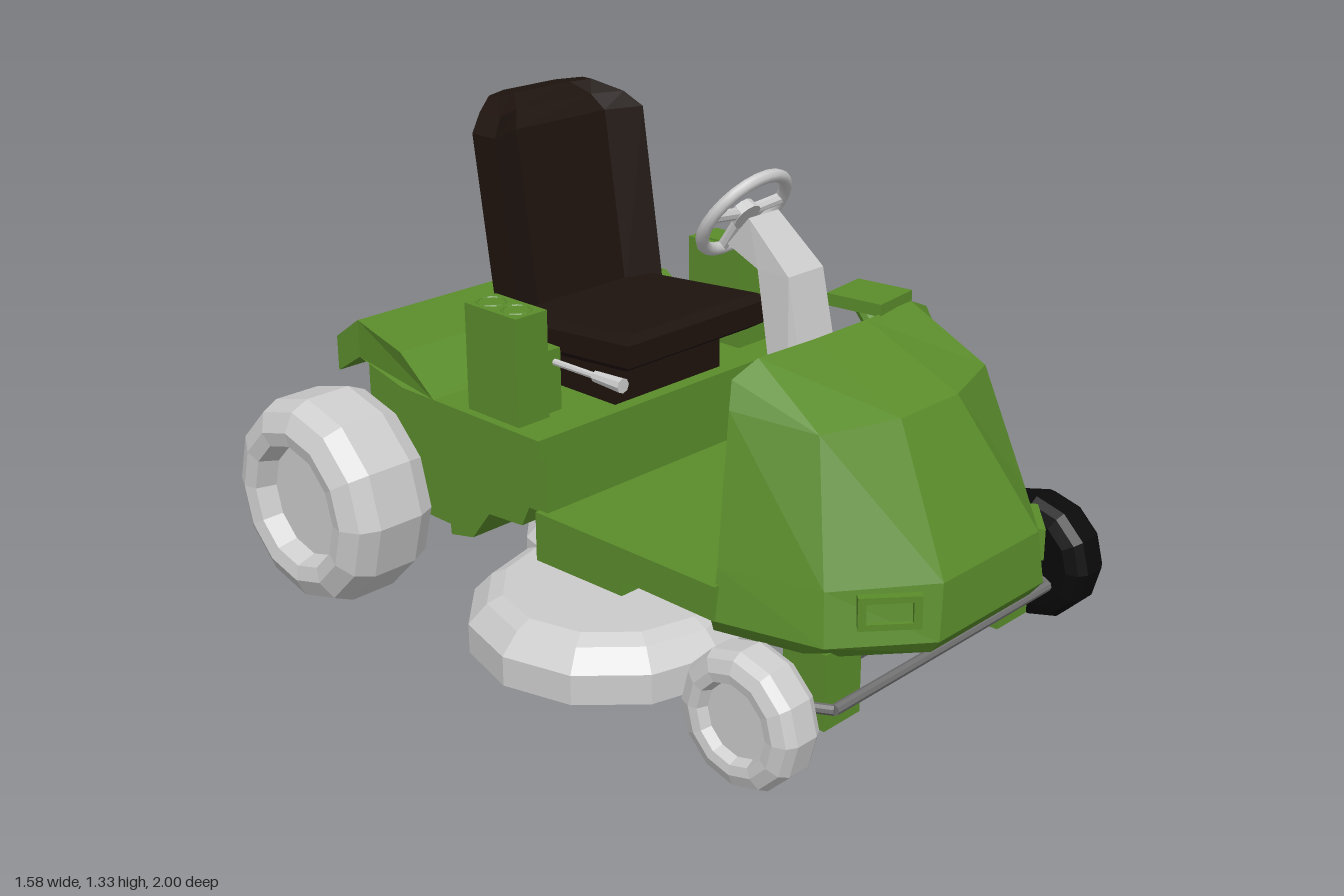
import * as THREE from 'three';

const mat = (color, extra = {}) => new THREE.MeshStandardMaterial({ color, flatShading: true, ...extra });
const GREEN = mat(0x5a8c2b), BLACK = mat(0x0a0a0a), BROWN = mat(0x1e130e);
const GREY = mat(0xcccccc), STEEL = mat(0x707070);
const SMOOTH = new THREE.MeshStandardMaterial({ color: 0xcccccc });
const V = (x, y, z) => new THREE.Vector3(x, y, z);

export function createModel() {
  const root = new THREE.Group();

  const add = (name, geo, material, parent = root) => {
    const mesh = new THREE.Mesh(geo, material);
    mesh.name = name;
    parent.add(mesh);
    return mesh;
  };
  // Box given by its limits on each axis
  const box = (name, x0, x1, y0, y1, z0, z1, material) =>
    add(name, new THREE.BoxGeometry(x1 - x0, y1 - y0, z1 - z0)
      .translate((x0 + x1) / 2, (y0 + y1) / 2, (z0 + z1) / 2), material);
  // Round bar between two points
  const bar = (name, a, b, r, material, parent = root, r2 = r) => {
    const d = b.clone().sub(a);
    const mesh = add(name, new THREE.CylinderGeometry(r2, r, d.length(), 8), material, parent);
    mesh.position.copy(a).addScaledVector(d, 0.5);
    mesh.quaternion.setFromUnitVectors(V(0, 1, 0), d.normalize());
    return mesh;
  };
  // Side profile of [z, y] points extruded across x
  const slab = (name, pts, half, material) => {
    const shape = new THREE.Shape(pts.map(p => new THREE.Vector2(p[0], p[1])));
    const geo = new THREE.ExtrudeGeometry(shape, { depth: half * 2, bevelEnabled: false });
    return add(name, geo.rotateY(-Math.PI / 2).translate(half, 0, 0), material);
  };
  // Closed skin through rings of [x, y, z], capped at both ends
  const loft = (name, rings, material) => {
    const n = rings[0].length, pos = rings.flat(2), idx = [];
    for (let r = 0; r < rings.length - 1; r++)
      for (let i = 0; i < n; i++) {
        const a = r * n + i, b = r * n + (i + 1) % n;
        idx.push(a, b, b + n, a, b + n, a + n);
      }
    [0, rings.length - 1].forEach((r, k) => {
      const c = pos.length / 3;
      for (let j = 0; j < 3; j++) pos.push(rings[r].reduce((s, p) => s + p[j], 0) / n);
      for (let i = 0; i < n; i++) {
        const a = r * n + i, b = r * n + (i + 1) % n;
        idx.push(c, ...(k ? [a, b] : [b, a]));
      }
    });
    // Turn the faces outward if the rings ran the other way
    let vol = 0;
    const p = i => V(pos[i * 3], pos[i * 3 + 1], pos[i * 3 + 2]);
    for (let i = 0; i < idx.length; i += 3) vol += p(idx[i]).dot(p(idx[i + 1]).cross(p(idx[i + 2])));
    if (vol < 0) idx.reverse();
    const geo = new THREE.BufferGeometry();
    geo.setAttribute('position', new THREE.Float32BufferAttribute(pos, 3));
    geo.setIndex(idx);
    geo.computeVertexNormals();
    return add(name, geo, material);
  };
  const mirrorRing = half => [...half, ...half.slice().reverse().map(([x, y, z]) => [-x, y, z])];

  // Hood: half rings from rear corner to nose, mirrored
  loft('hood', [
    [[0.47, 0.27, 0.535], [0.40, 0.27, 0.80], [0.20, 0.27, 0.97]],
    [[0.495, 0.31, 0.55], [0.42, 0.31, 0.83], [0.21, 0.31, 1.0]],
    [[0.475, 0.44, 0.55], [0.40, 0.44, 0.81], [0.19, 0.45, 0.99]],
    [[0.395, 0.80, 0.51], [0.32, 0.775, 0.72], [0.11, 0.775, 0.79]],
    [[0.37, 0.865, 0.495], [0.29, 0.90, 0.505], [0.10, 0.90, 0.515]],
  ].map(mirrorRing), GREEN);

  // Headlight frames on the angled nose panels
  for (const s of [-1, 1]) {
    const rect = (P, w, h) => new P([[-w, -h], [w, -h], [w, h], [-w, h]].map(p => new THREE.Vector2(...p)));
    const frame = rect(THREE.Shape, 0.075, 0.042);
    frame.holes.push(rect(THREE.Path, 0.055, 0.026));
    const lamp = add('headlightFrame', new THREE.ExtrudeGeometry(frame, { depth: 0.025, bevelEnabled: false }), GREEN);
    lamp.position.set(s * 0.285, 0.39, 0.907);
    lamp.rotation.y = s * 0.72;
  }

  // Chassis floor, rear body and fenders
  slab('floor', [[0.56, 0.31], [0.56, 0.40], [-0.06, 0.395], [-0.06, 0.26], [0.25, 0.267], [0.25, 0.31]], 0.495, GREEN);
  slab('seatPlatform', [[-0.03, 0.56], [-0.03, 0.39], [-0.10, 0.39], [-0.13, 0.33], [-0.26, 0.32],
    [-0.33, 0.23], [-0.42, 0.21], [-0.45, 0.56]], 0.48, GREEN);
  slab('rearBody', [[-0.40, 0.58], [-0.40, 0.21], [-0.74, 0.21], [-0.80, 0.28], [-0.80, 0.64], [-0.57, 0.64]], 0.44, GREEN);
  const fender = slab('fender', [[-0.03, 0.60], [-0.44, 0.60], [-0.57, 0.70], [-0.80, 0.727], [-0.90, 0.657],
    [-0.90, 0.556], [-0.80, 0.62], [-0.57, 0.60], [-0.43, 0.545], [-0.03, 0.545]], 0.505, GREEN);
  const fp = fender.geometry.attributes.position;
  for (let i = 0; i < fp.count; i++) if (fp.getZ(i) < -0.7) fp.setX(i, fp.getX(i) * 0.93);
  fender.geometry.computeVertexNormals();

  // Side consoles, cup holders and lift lever
  box('rightConsole', -0.48, -0.375, 0.55, 0.89, -0.325, -0.13, GREEN);
  box('leftConsole', 0.345, 0.46, 0.55, 0.89, -0.325, -0.13, GREEN);
  box('leftConsoleLid', 0.36, 0.445, 0.89, 0.895, -0.31, -0.145, GREEN);
  for (const z of [-0.28, -0.185])
    add('cupHolder', new THREE.TorusGeometry(0.037, 0.004, 6, 16).rotateX(Math.PI / 2).translate(-0.428, 0.89, z), GREEN);
  box('leverGuide', -0.355, -0.315, 0.59, 0.77, -0.35, -0.15, GREEN);
  bar('lever', V(-0.335, 0.735, -0.2), V(-0.335, 0.735, 0.01), 0.009, GREY);
  bar('leverGrip', V(-0.335, 0.735, 0), V(-0.335, 0.735, 0.1), 0.015, GREY, root, 0.02);

  // Dash flap with its brace
  const flap = box('dashFlap', -0.075, 0.075, -0.016, 0.016, -0.08, 0.08, GREEN);
  flap.position.set(0.215, 0.91, 0.43);
  flap.rotation.y = 0.12;
  bar('dashBrace', V(0.215, 0.76, 0.51), V(0.215, 0.90, 0.39), 0.02, GREEN);

  // Steering column
  const columnRing = (w, y0, z0, y1, z1, w1 = w) => [[w, y0, z0], [w1, y1, z1], [-w1, y1, z1], [-w, y0, z0]];
  loft('steeringColumn', [
    columnRing(0.075, 0.39, 0.53, 0.39, 0.44, 0.10),
    columnRing(0.065, 1.02, 0.40, 1.02, 0.30),
    columnRing(0.055, 1.14, 0.26, 1.06, 0.19),
  ], GREY);

  // Steering wheel, built flat facing +z then tilted toward the seat
  const steering = new THREE.Group();
  steering.name = 'steeringWheel';
  add('steeringRim', new THREE.TorusGeometry(0.13, 0.017, 8, 24), SMOOTH, steering);
  add('steeringHub', new THREE.CylinderGeometry(0.035, 0.04, 0.03, 12).rotateX(Math.PI / 2), GREY, steering);
  for (const a of [0.15, Math.PI - 0.15, -Math.PI / 2])
    bar('steeringSpoke', V(0, 0, 0), V(Math.cos(a) * 0.13, Math.sin(a) * 0.13, 0), 0.015, GREY, steering);
  steering.position.set(0, 1.13, 0.195);
  steering.lookAt(0, 1.13 + 0.58, 0.195 - 0.82);
  root.add(steering);

  // Seat: base, cushion and wrapped backrest
  box('seatBase', -0.2, 0.2, 0.59, 0.72, -0.37, -0.07, BROWN);
  loft('seatCushion', [[0.23, 0.05, 0.72, 0.685], [0.27, 0.0, 0.75, 0.715], [0.27, 0.0, 0.81, 0.77], [0.24, 0.03, 0.825, 0.785]]
    .map(([w, inset, yf, yb]) => [[w, yf, 0.055 - inset], [w, yb, -0.48], [-w, yb, -0.48], [-w, yf, 0.055 - inset]]), BROWN);
  const backRing = (w, y, z, d = 1) => mirrorRing([
    [w * 0.6, y, z - 0.04 * d], [w, y, z], [w, y, z - 0.09 * d], [w * 0.55, y, z - 0.16 * d],
  ]);
  loft('seatBackrest', [
    backRing(0.22, 0.685, -0.38, 0.7), backRing(0.27, 0.76, -0.355), backRing(0.27, 1.26, -0.43),
    backRing(0.225, 1.305, -0.46, 0.9), backRing(0.17, 1.337, -0.53, 0.4),
  ], BROWN);

  // Mower decks: open-bottomed shells
  const deck = (name, x, y, z, r, h, material) => {
    const pts = [[0, 0.87], [0.70, 0.87], [0.90, 0.5], [0.90, 0], [1, 0], [1, 0.53], [0.87, 0.87], [0.76, 1], [0, 1]];
    const geo = new THREE.LatheGeometry(pts.map(p => new THREE.Vector2(p[0] * r, p[1] * h)), 12);
    add(name, geo.translate(x, y, z), material);
  };
  deck('leftDeck', 0.39, 0.07, 0.105, 0.375, 0.15, GREEN);
  deck('rightDeck', -0.385, 0.07, 0.105, 0.375, 0.15, GREY);
  deck('centreDeck', 0, 0.125, -0.03, 0.425, 0.18, GREY);

  // Wheels: profile as [share of radius, share of width], recessed rim outside
  const wheel = (name, s, x, y, z, r, w, material) => {
    const pts = [[0, 0], [0.74, 0], [0.92, 0.09], [1, 0.27], [1, 0.73], [0.92, 0.91], [0.74, 1],
      [0.60, 0.97], [0.54, 0.78], [0, 0.78]];
    const geo = new THREE.LatheGeometry(pts.map(p => new THREE.Vector2(p[0] * r, p[1] * w)), 12);
    add(name, geo.rotateZ(-s * Math.PI / 2).translate(s * x, y, z), material);
  };
  for (const s of [-1, 1]) {
    const side = s > 0 ? 'left' : 'right', rubber = s > 0 ? BLACK : GREY;
    wheel(side + 'RearWheel', s, 0.5, 0.298, -0.71, 0.29, 0.29, rubber);
    wheel(side + 'FrontWheel', s, 0.512, 0.178, 0.75, 0.173, 0.138, rubber);
    // Axle stubs and steering links
    bar('frontAxleStub', V(s * 0.38, 0.175, 0.745), V(s * 0.53, 0.175, 0.745), 0.016, STEEL);
    bar('frontLink', V(s * 0.50, 0.175, 0.75), V(s * 0.43, 0.175, 0.875), 0.013, STEEL);
    bar('rearAxleStub', V(s * 0.42, 0.30, -0.71), V(s * 0.52, 0.30, -0.71), 0.02, STEEL);
    bar('rearLink', V(s * 0.50, 0.30, -0.71), V(s * 0.455, 0.27, -0.85), 0.015, STEEL);
    const b = [0.28, 0.41].map(v => v * s).sort((p, q) => p - q);
    box('frontBracket', b[0], b[1], 0.09, 0.29, 0.70, 0.83, GREEN);
  }
  bar('frontAxle', V(-0.45, 0.175, 0.745), V(0.45, 0.175, 0.745), 0.016, STEEL);
  bar('frontTieRod', V(-0.43, 0.175, 0.875), V(0.43, 0.175, 0.875), 0.014, STEEL);
  bar('rearTieRod', V(-0.455, 0.27, -0.85), V(0.455, 0.27, -0.85), 0.016, STEEL);
  return root;
}
